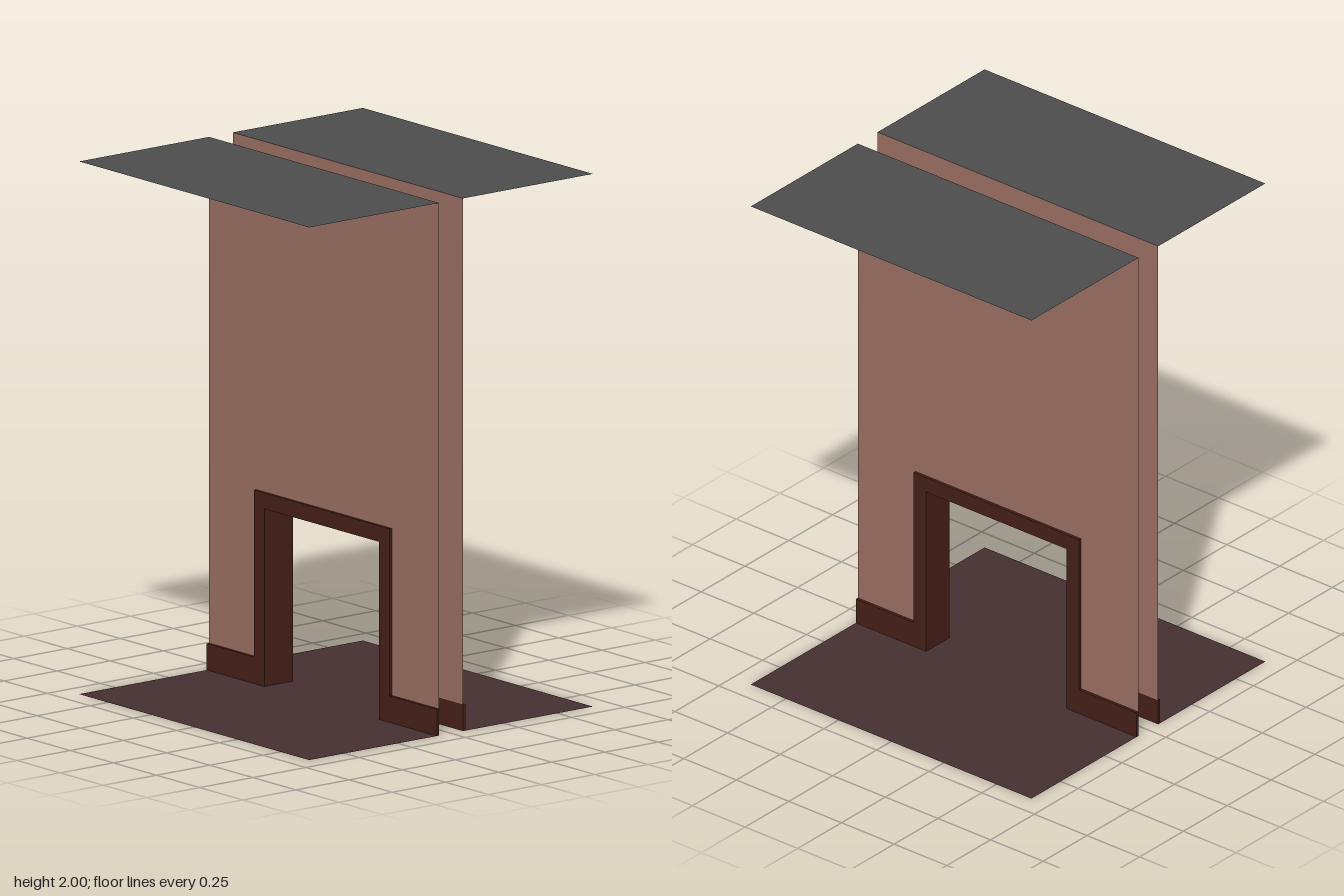
import * as THREE from 'three';

const HALF = 0.667;   // half width and depth of the floor plan
const GAP = 0.056;    // half of the space between the two walls
const TRIM = 0.011;   // trim thickness
const DOOR = 0.333;   // half width of the doorway
const HEAD = 0.667;   // height of the doorway
const CASING = 0.06;  // width of the door casing
const BASE = 0.1;     // height of the baseboard
const TOP = 2;

const mat = (color) => new THREE.MeshStandardMaterial({ color, side: THREE.DoubleSide });

function shapeOf(points) {
  return new THREE.Shape(points.map(([a, b]) => new THREE.Vector2(a, b)));
}

export function createModel() {
  const model = new THREE.Group();
  const wallMat = mat(0x9a6e62);
  const trimMat = mat(0x451f19);
  const floorMat = mat(0x452f31);
  const ceilingMat = mat(0x4c4c4c);

  const add = (name, geometry, material) => {
    const mesh = new THREE.Mesh(geometry, material);
    mesh.name = name;
    model.add(mesh);
    return mesh;
  };

  // Upper edge of the baseboard and casing, shared by wall and trim
  const c = DOOR + CASING;
  const trimEdge = [
    [-HALF, BASE], [-c, BASE], [-c, HEAD + CASING],
    [c, HEAD + CASING], [c, BASE], [HALF, BASE],
  ];
  const wallShape = shapeOf([...trimEdge, [HALF, TOP], [-HALF, TOP]]);
  const trimShape = shapeOf([
    ...trimEdge, [HALF, 0], [DOOR, 0], [DOOR, HEAD],
    [-DOOR, HEAD], [-DOOR, 0], [-HALF, 0],
  ]);

  for (const [side, s] of [['left', 1], ['right', -1]]) {
    // Wall, facing its own room
    const wall = add(side + 'Wall', new THREE.ShapeGeometry(wallShape), wallMat);
    wall.rotation.y = s * Math.PI / 2;
    wall.position.x = s * GAP;

    // Baseboard and door casing in one piece
    const trim = add(side + 'Trim',
      new THREE.ExtrudeGeometry(trimShape, { depth: TRIM, bevelEnabled: false }), trimMat);
    trim.rotation.y = s * Math.PI / 2;
    trim.position.x = s * GAP;

    // Ceiling, facing down
    const ceiling = add(side + 'Ceiling', new THREE.PlaneGeometry(HALF - GAP, 2 * HALF), ceilingMat);
    ceiling.rotation.x = Math.PI / 2;
    ceiling.position.set(s * (HALF + GAP) / 2, TOP, 0);

    // Door jamb across the gap, facing into the doorway
    const jamb = add(side === 'left' ? 'frontJamb' : 'backJamb',
      new THREE.PlaneGeometry(2 * GAP, HEAD), trimMat);
    jamb.rotation.y = s > 0 ? Math.PI : 0;
    jamb.position.set(0, HEAD / 2, s * DOOR);
  }

  // Top of the doorway
  const lintel = add('doorLintel', new THREE.PlaneGeometry(2 * GAP, 2 * DOOR), trimMat);
  lintel.rotation.x = Math.PI / 2;
  lintel.position.y = HEAD;

  // Floor of both rooms, joined through the doorway
  const floor = add('floor', new THREE.ShapeGeometry(shapeOf([
    [-HALF, -HALF], [-GAP, -HALF], [-GAP, -DOOR], [GAP, -DOOR], [GAP, -HALF], [HALF, -HALF],
    [HALF, HALF], [GAP, HALF], [GAP, DOOR], [-GAP, DOOR], [-GAP, HALF], [-HALF, HALF],
  ])), floorMat);
  floor.rotation.x = -Math.PI / 2;

  return model;
}
